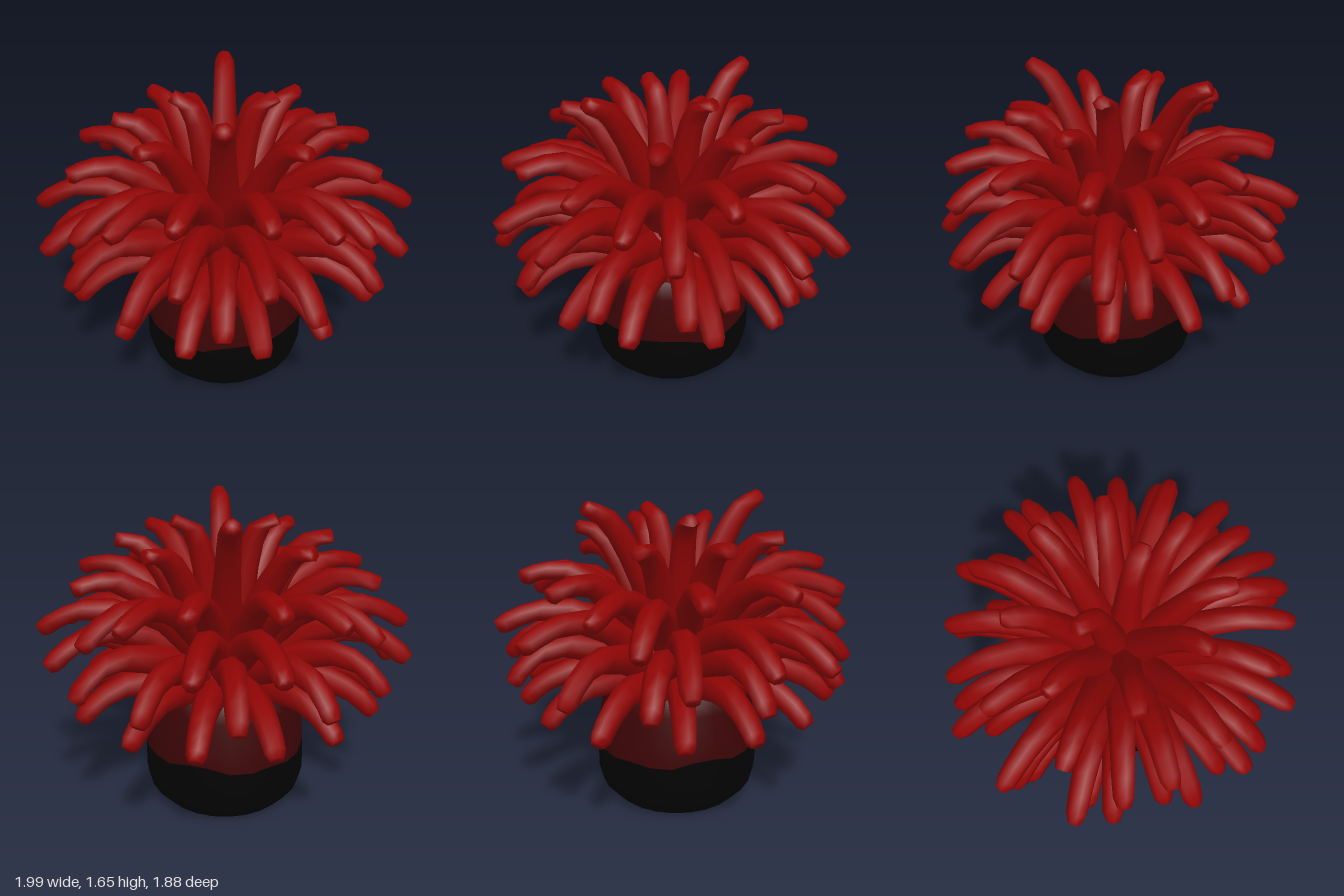
import * as THREE from 'three';
import { mergeVertices } from 'three/addons/utils/BufferGeometryUtils.js';

const material = (name, color) => {
  const m = new THREE.MeshStandardMaterial({ color });
  m.name = name;
  return m;
};

// Tapered, blunt-ended tube through [radius, height] points
function tentacleGeometry(points) {
  const curve = new THREE.CatmullRomCurve3(points.map(([r, y]) => new THREE.Vector3(r, y, 0)));
  const steps = [0, 0.2, 0.4, 0.58, 0.74, 0.86, 0.95, 1, 1];
  const radii = [0.115, 0.092, 0.078, 0.068, 0.062, 0.058, 0.053, 0.036, 0];
  const segments = steps.length - 1, sides = 7;
  const geometry = new THREE.TubeGeometry(curve, segments, 1, sides);
  const pos = geometry.attributes.position;
  const v = new THREE.Vector3();
  for (let i = 0; i <= segments; i++) {
    const from = curve.getPointAt(i / segments), to = curve.getPointAt(steps[i]);
    for (let j = 0; j <= sides; j++) {
      const k = i * (sides + 1) + j;
      v.fromBufferAttribute(pos, k).sub(from).multiplyScalar(radii[i]).add(to);
      pos.setXYZ(k, v.x, v.y, v.z);
    }
  }
  geometry.deleteAttribute('uv');
  geometry.deleteAttribute('normal');
  const smooth = mergeVertices(geometry, 1e-4);
  smooth.computeVertexNormals();
  return smooth;
}

// Directions in degrees, mirrored left to right and front to back
const mirrored = (...angles) => [...new Set(angles.flatMap((a) => [a, 180 - a, 180 + a, (360 - a) % 360]))];

// Lathe whose rows at the colour border follow a wavy line
function bodyGeometry(profile, borderY) {
  const geometry = new THREE.LatheGeometry(profile.map(([r, y]) => new THREE.Vector2(r, y)), 24);
  const pos = geometry.attributes.position;
  for (let i = 0; i < pos.count; i++) {
    if (Math.abs(pos.getY(i) - borderY) > 1e-4) continue;
    const a = Math.atan2(pos.getX(i), pos.getZ(i));
    pos.setY(i, borderY + 0.016 * Math.sin(3 * a) + 0.014 * Math.sin(7 * a + 1));
  }
  return geometry;
}

export function createModel() {
  const model = new THREE.Group();
  model.name = 'seaAnemone';
  const red = material('tentacleRed', 0x8f0404);
  const maroon = material('stalkMaroon', 0x3c0405);
  const black = material('footBlack', 0x030303);

  const add = (name, geometry, mat, parent = model) => {
    const mesh = new THREE.Mesh(geometry, mat);
    mesh.name = name;
    parent.add(mesh);
    return mesh;
  };

  // Stalk: black foot below, maroon column above
  add('foot', bodyGeometry([[0, 0], [0.35, 0.005], [0.42, 0.08], [0.443, 0.17], [0.44, 0.325]], 0.325), black);
  add('column', bodyGeometry([[0.44, 0.325], [0.435, 0.42], [0.405, 0.58], [0.385, 0.68], [0.3, 0.71]], 0.325), maroon);

  // Crown from which the tentacles grow
  const crown = [[0.3, 0.65], [0.385, 0.665], [0.39, 0.73], [0.31, 0.89], [0.17, 1.02], [0, 1.07]];
  add('crown', new THREE.LatheGeometry(crown.map(([r, y]) => new THREE.Vector2(r, y)), 20), red);

  // Tentacle layers from the lowest to the highest
  const layers = [
    { name: 'lowestTentacle', angles: mirrored(0, 24, 53, 77),
      path: [[0.2, 0.7], [0.42, 0.75], [0.6, 0.745], [0.73, 0.685], [0.83, 0.6]] },
    { name: 'lowTentacle', angles: mirrored(0, 34, 61, 90),
      path: [[0.18, 0.76], [0.42, 0.88], [0.62, 0.94], [0.78, 0.91], [0.915, 0.78]] },
    { name: 'middleSideTentacle', angles: mirrored(0),
      path: [[0.16, 0.8], [0.4, 0.98], [0.6, 1.08], [0.78, 1.08], [0.98, 0.98]] },
    { name: 'middleOuterTentacle', angles: mirrored(23),
      path: [[0.16, 0.8], [0.4, 0.97], [0.6, 1.05], [0.78, 1.03], [0.97, 0.91]] },
    { name: 'middleTentacle', angles: mirrored(77.5),
      path: [[0.16, 0.8], [0.38, 0.98], [0.56, 1.08], [0.74, 1.09], [0.94, 1.02]] },
    { name: 'archedTentacle', angles: mirrored(37.5),
      path: [[0.14, 0.84], [0.34, 1.06], [0.52, 1.18], [0.7, 1.18], [0.89, 1.06]] },
    { name: 'upperCornerTentacle', angles: mirrored(53),
      path: [[0.12, 0.85], [0.3, 1.06], [0.46, 1.18], [0.64, 1.24], [0.86, 1.18]] },
    { name: 'upperTentacle', angles: mirrored(17, 74),
      path: [[0.12, 0.85], [0.3, 1.06], [0.45, 1.21], [0.61, 1.29], [0.8, 1.26]] },
    { name: 'highTentacle', angles: mirrored(0, 45),
      path: [[0.1, 0.88], [0.24, 1.15], [0.35, 1.34], [0.43, 1.43], [0.56, 1.46]] },
    { name: 'tallTentacle', angles: [90, 270],
      path: [[0.06, 0.9], [0.18, 1.2], [0.3, 1.43], [0.38, 1.55], [0.5, 1.62]] },
    { name: 'centreTentacle', angles: [12, 168],
      path: [[0.04, 0.9], [0.09, 1.2], [0.13, 1.4], [0.17, 1.51], [0.27, 1.56]] },
  ];
  for (const { name, angles, path } of layers) {
    const group = new THREE.Group();
    group.name = name + 's';
    const geometry = tentacleGeometry(path);
    for (const angle of angles) {
      add(name, geometry, red, group).rotation.y = THREE.MathUtils.degToRad(angle);
    }
    model.add(group);
  }
  return model;
}
